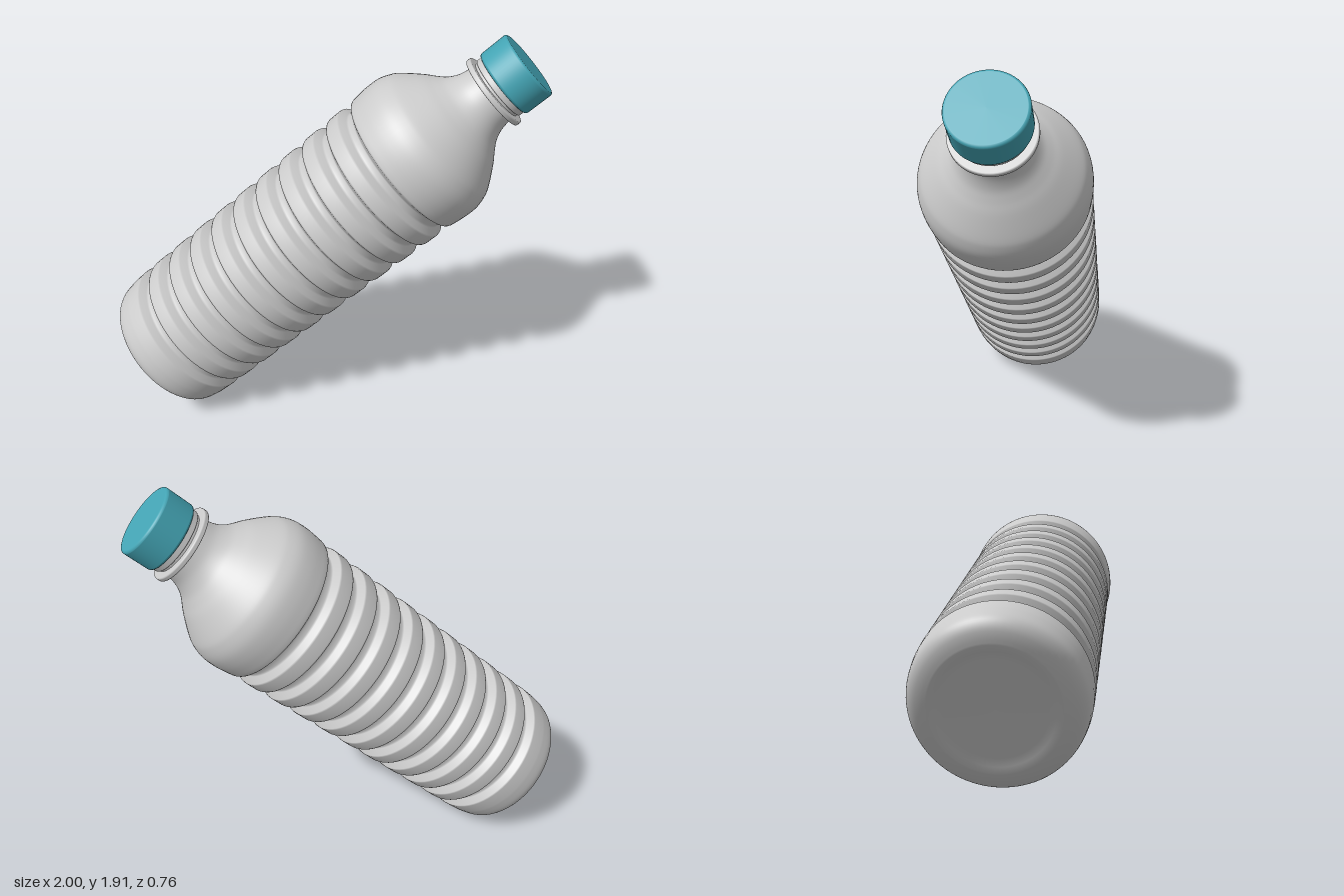
import * as THREE from 'three';

const SEGMENTS = 72;
const v = (r, y) => new THREE.Vector2(r, y);

function lathe(name, points, material) {
  const mesh = new THREE.Mesh(new THREE.LatheGeometry(points, SEGMENTS), material);
  mesh.name = name;
  return mesh;
}

// Closed ring or disc with small bevels; inner = 0 closes it at the axis
function ring(name, inner, outer, y0, y1, bevel, material) {
  return lathe(name, [
    v(inner, y0), v(outer - bevel - 0.002, y0), v(outer - bevel, y0),
    v(outer - bevel * 0.3, y0 + bevel * 0.3), v(outer, y0 + bevel), v(outer, y0 + bevel + 0.002),
    v(outer, y1 - bevel - 0.002), v(outer, y1 - bevel), v(outer - bevel * 0.3, y1 - bevel * 0.3),
    v(outer - bevel, y1), v(outer - bevel - 0.002, y1), v(inner, y1),
  ], material);
}

export function createModel() {
  const plastic = new THREE.MeshStandardMaterial({ color: 0xcccccc, side: THREE.DoubleSide });
  const teal = new THREE.MeshStandardMaterial({ color: 0x44a5b5 });
  const R = 0.36;
  const bottle = new THREE.Group();
  bottle.name = 'bottle';

  // Base with a shallow recess and a rounded foot
  const profile = [v(0, -0.425), v(0.2, -0.427), v(0.23, -0.438)];
  const foot = new THREE.SplineCurve([
    v(0.255, -0.441), v(0.285, -0.432), v(0.315, -0.417), v(0.338, -0.393), v(0.35, -0.36), v(R - 0.002, -0.3),
  ]);
  profile.push(...foot.getPoints(16));

  // Ribbed wall: ten evenly spaced grooves
  for (let i = 0; i < 10; i++) {
    const c = -0.191 + i * 0.1475;
    profile.push(
      v(R, c - 0.045), v(R - 0.003, c - 0.036), v(R - 0.034, c - 0.02), v(R - 0.039, c - 0.012),
      v(R - 0.039, c + 0.012), v(R - 0.034, c + 0.02), v(R - 0.003, c + 0.036), v(R, c + 0.045),
    );
  }

  // Domed shoulder flowing into the neck
  const shoulder = new THREE.SplineCurve([
    v(0.362, 1.2), v(0.366, 1.26), v(0.362, 1.32), v(0.345, 1.37), v(0.32, 1.41), v(0.255, 1.484),
    v(0.212, 1.525), v(0.178, 1.562), v(0.153, 1.61), v(0.143, 1.66), v(0.141, 1.7),
  ]);
  profile.push(...shoulder.getPoints(44), v(0.141, 1.75));
  bottle.add(lathe('body', profile, plastic));

  // Neck flange, collar under the cap, and the cap
  bottle.add(ring('neckFlange', 0.13, 0.177, 1.672, 1.696, 0.005, plastic));
  bottle.add(ring('neckCollar', 0.13, 0.15, 1.708, 1.738, 0.004, plastic));
  bottle.add(ring('cap', 0, 0.162, 1.735, 1.874, 0.01, teal));

  // Lean the bottle along its axis
  const axis = new THREE.Vector3(0.732, 0.681, 0.0255).normalize();
  bottle.quaternion.setFromUnitVectors(new THREE.Vector3(0, 1, 0), axis);
  bottle.position.set(-0.483, 0.519, -0.015);

  const model = new THREE.Group();
  model.name = 'leaningBottle';
  model.add(bottle);
  return model;
}
